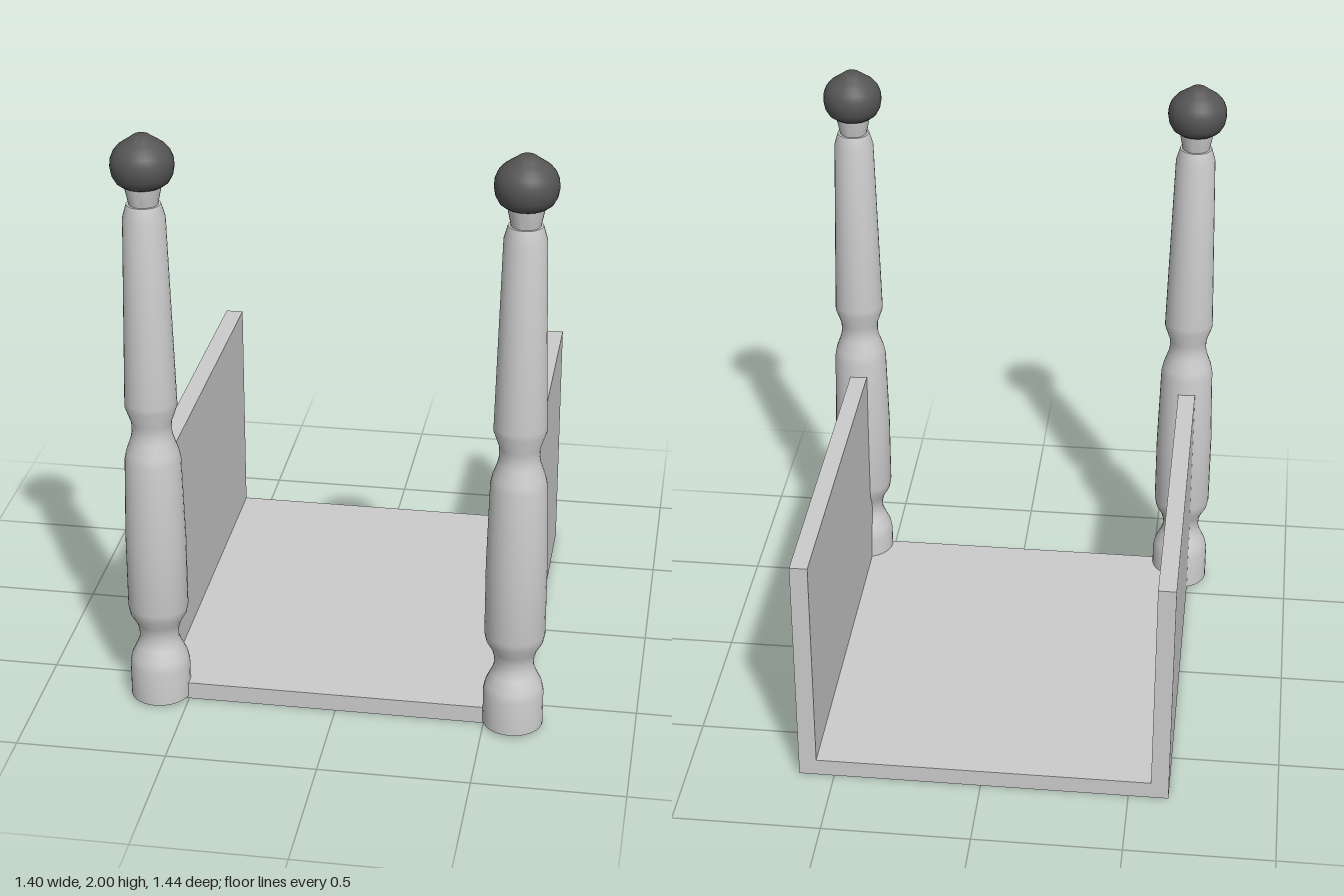
import * as THREE from 'three';
import { toCreasedNormals } from 'three/addons/utils/BufferGeometryUtils.js';

const grey = new THREE.MeshStandardMaterial({ color: 0xcccccc });
const dark = new THREE.MeshStandardMaterial({ color: 0x555555 });

// Box given by its lower and upper corners
function box(name, [x0, y0, z0], [x1, y1, z1]) {
  const mesh = new THREE.Mesh(new THREE.BoxGeometry(x1 - x0, y1 - y0, z1 - z0), grey);
  mesh.position.set((x0 + x1) / 2, (y0 + y1) / 2, (z0 + z1) / 2);
  mesh.name = name;
  return mesh;
}

// Turned part from [radius, height] pairs, listed bottom to top
function turned(name, profile, material) {
  const points = profile.map(([r, y]) => new THREE.Vector2(r, y));
  const geometry = toCreasedNormals(new THREE.LatheGeometry(points, 32), 0.7);
  const mesh = new THREE.Mesh(geometry, material);
  mesh.name = name;
  return mesh;
}

const shaftProfile = [
  [0, 0.01], [0.1, 0.01], [0.1, 0.13], [0.094, 0.16], [0.075, 0.2], [0.066, 0.225],
  [0.066, 0.255], [0.074, 0.285], [0.094, 0.32], [0.1, 0.35], [0.1, 0.6],
  [0.092, 0.89], [0.086, 0.92], [0.07, 0.965], [0.065, 0.99], [0.066, 1.025],
  [0.085, 1.08], [0.085, 1.1], [0.068, 1.73], [0.055, 1.775], [0, 1.775],
];
const neckProfile = [[0.046, 1.77], [0.05, 1.79], [0.058, 1.83], [0.06, 1.845]];
const knobProfile = [
  [0, 1.838], [0.068, 1.838], [0.084, 1.85], [0.096, 1.872], [0.101, 1.9], [0.099, 1.925],
  [0.09, 1.947], [0.075, 1.965], [0.055, 1.979], [0.04, 1.989], [0.025, 2], [0, 2],
];

export function createModel() {
  const group = new THREE.Group();

  // Floor and side panels
  group.add(
    box('floor', [-0.575, 0, -0.72], [0.56, 0.06, 0.64]),
    box('rightPanel', [-0.635, 0, -0.72], [-0.575, 0.84, 0.64]),
    box('leftPanel', [0.56, 0, -0.72], [0.62, 0.84, 0.64]),
  );

  // Turned front posts with dark knobs
  for (const [name, x] of [['rightPost', -0.6], ['leftPost', 0.595]]) {
    const post = new THREE.Group();
    post.name = name;
    post.add(
      turned('shaft', shaftProfile, grey),
      turned('neck', neckProfile, grey),
      turned('knob', knobProfile, dark),
    );
    post.position.set(x, 0, 0.62);
    group.add(post);
  }
  return group;
}
